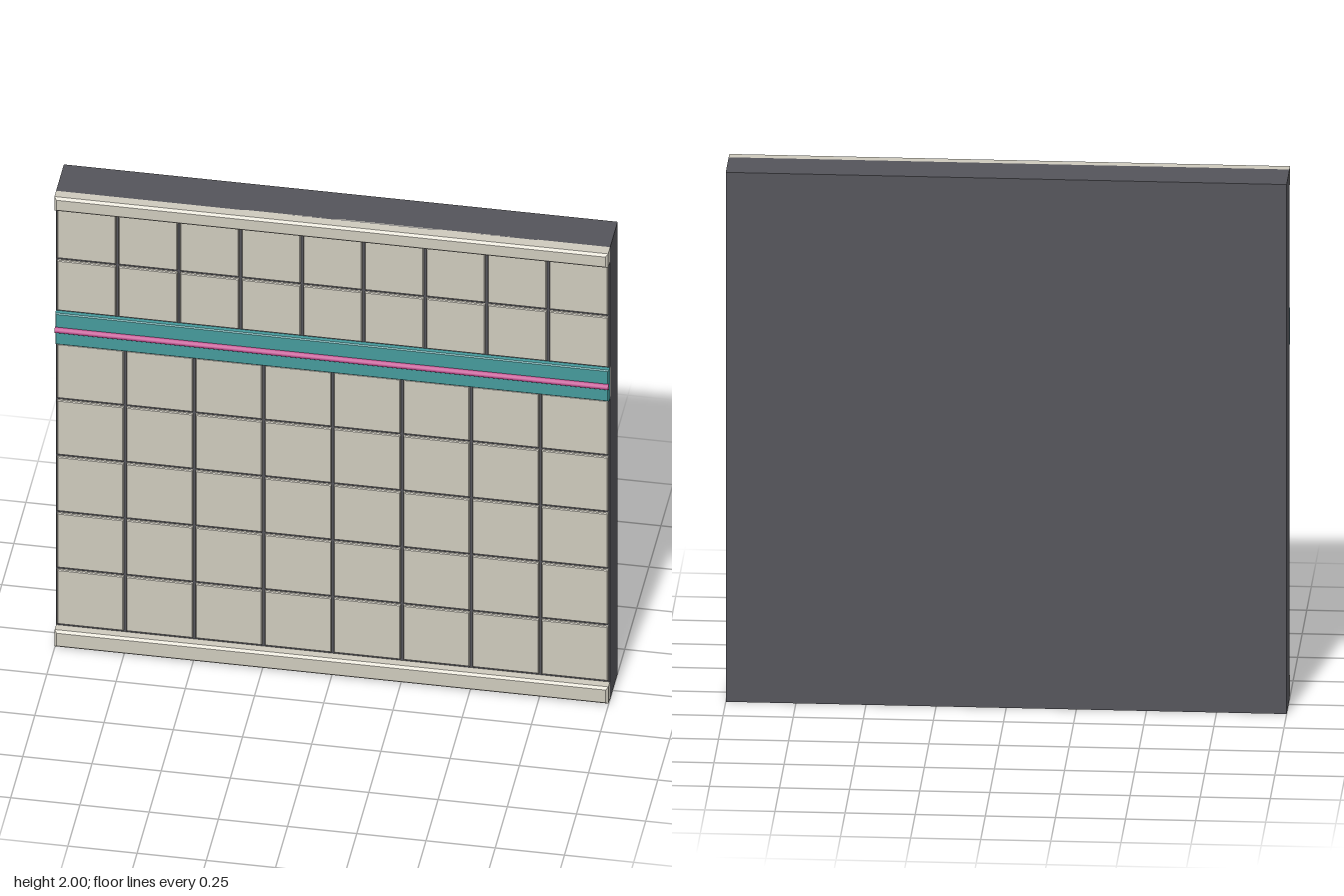
import * as THREE from 'three';

const material = (name, color) => {
  const m = new THREE.MeshStandardMaterial({ color });
  m.name = name;
  return m;
};

// Block with chamfered edges, given by its outer limits
function chamferedBlock(x0, x1, y0, y1, z0, z1, c) {
  const s = new THREE.Shape();
  s.moveTo(x0 + c, y0 + c);
  s.lineTo(x1 - c, y0 + c);
  s.lineTo(x1 - c, y1 - c);
  s.lineTo(x0 + c, y1 - c);
  s.closePath();
  const g = new THREE.ExtrudeGeometry(s, {
    depth: z1 - z0 - 2 * c, bevelEnabled: true,
    bevelThickness: c, bevelSize: c, bevelSegments: 1,
  });
  return g.translate(0, 0, z0 + c);
}

export function createModel() {
  const group = new THREE.Group();
  group.name = 'tiledWallPanel';
  const grout = material('dark grout', 0x54545a);
  const ceramic = material('cream ceramic', 0xcdc9bc);
  const teal = material('teal glaze', 0x45999b);
  const pink = material('pink glaze', 0xc04f90);

  const add = (name, geometry, mat, parent = group) => {
    const mesh = new THREE.Mesh(geometry, mat);
    mesh.name = name;
    parent.add(mesh);
    return mesh;
  };

  // Backing wall
  add('wallSlab', new THREE.BoxGeometry(2, 2, 0.16).translate(0, 1, -0.022), grout);

  // Grids of square tiles, separated by grout gaps
  const tileField = (name, columns, rows, y0, y1) => {
    const field = new THREE.Group();
    field.name = name;
    const w = 2 / columns, h = (y1 - y0) / rows, gap = 0.005;
    for (let r = 0; r < rows; r++) {
      for (let c = 0; c < columns; c++) {
        const x = -1 + c * w, y = y0 + r * h;
        add('tile', chamferedBlock(
          Math.max(x + gap, -0.998), Math.min(x + w - gap, 0.998),
          y + gap, y + h - gap, 0.05, 0.068, 0.003), ceramic, field);
      }
    }
    group.add(field);
  };
  tileField('lowerTiles', 8, 5, 0.085, 1.335);
  tileField('upperTiles', 9, 2, 1.473, 1.935);

  // Skirting and top rail
  add('skirting', chamferedBlock(-1, 1, 0.006, 0.08, 0.043, 0.097, 0.009), ceramic);
  add('topRail', chamferedBlock(-1, 1, 1.938, 2, 0.043, 0.102, 0.009), ceramic);

  // Decorative band with a slim raised bead
  add('bandBacking', chamferedBlock(-1, 1, 1.338, 1.47, 0.045, 0.062, 0.003), ceramic);
  add('decorBand', chamferedBlock(-1, 1, 1.335, 1.473, 0.056, 0.08, 0.004), teal);
  add('bandBead', new THREE.CylinderGeometry(0.011, 0.011, 2, 12)
    .rotateZ(Math.PI / 2).translate(0, 1.403, 0.083), pink);

  return group;
}
